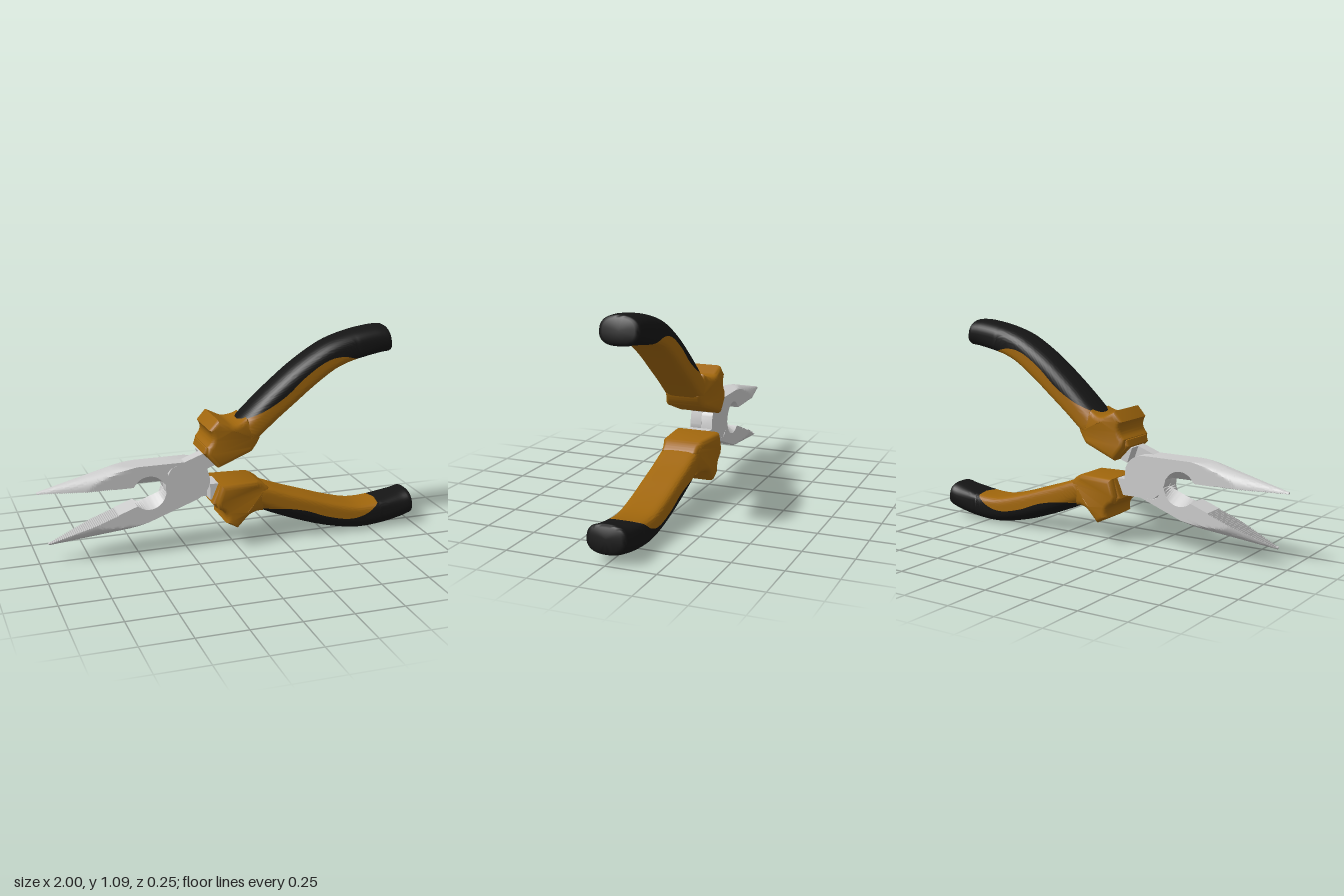
import * as THREE from 'three';
import { toCreasedNormals } from 'three/addons/utils/BufferGeometryUtils.js';

const steel = new THREE.MeshStandardMaterial({ color: 0xcccccc, side: THREE.DoubleSide });
const amber = new THREE.MeshStandardMaterial({ color: 0xa0660c, side: THREE.DoubleSide });
const black = new THREE.MeshStandardMaterial({ color: 0x151515, side: THREE.DoubleSide });
const PIVOT = new THREE.Vector3(-0.24, 0.37, 0);
const OPENING = THREE.MathUtils.degToRad(20.2);

function part(name, geometry, material, crease = 0.5) {
  const mesh = new THREE.Mesh(toCreasedNormals(geometry, crease), material);
  mesh.name = name;
  return mesh;
}

// Skin over rings of points that follow each other along x, capped at both ends
function loft(rings) {
  const n = rings[0].length, pos = [], index = [];
  rings.forEach(r => r.forEach(p => pos.push(p.x, p.y, p.z)));
  for (let i = 0; i < rings.length - 1; i++) {
    for (let j = 0; j < n - 1; j++) {
      const a = i * n + j, b = a + n;
      index.push(a, b, a + 1, a + 1, b, b + 1);
    }
  }
  [0, rings.length - 1].forEach((k, end) => {
    const c = new THREE.Vector3();
    rings[k].forEach(p => c.addScaledVector(p, 1 / n));
    const ci = pos.length / 3;
    pos.push(c.x, c.y, c.z);
    for (let j = 0; j < n - 1; j++) {
      const a = k * n + j;
      if (end) index.push(ci, a + 1, a); else index.push(ci, a, a + 1);
    }
  });
  const g = new THREE.BufferGeometry();
  g.setAttribute('position', new THREE.Float32BufferAttribute(pos, 3));
  g.setIndex(index);
  return g;
}

function slab(shape, z0, z1, bevel = 0) {
  const g = new THREE.ExtrudeGeometry(shape, {
    depth: z1 - z0 - 2 * bevel, bevelEnabled: bevel > 0, bevelSize: bevel,
    bevelThickness: bevel, bevelOffset: -bevel, bevelSegments: 4, curveSegments: 16,
  });
  return g.translate(0, 0, z0 + bevel);
}

// Jaw: a cone trimmed to a bar, with fine teeth and a waisted round notch
function jawGeometry() {
  const stations = [[-1, 0.37]];
  for (let i = 0; i <= 72; i++) stations.push([-0.99 + i * 0.005, i % 2 ? 0.375 : 0.37]);
  stations.push([-0.6, 0.37], [-0.57, 0.37], [-0.535, 0.37]);
  for (let i = 0; i <= 16; i++) stations.push([-0.53 + i * 0.01, 0.37]);
  stations.push([-0.355, 0.37]);
  return loft(stations.map(([x, y]) => {
    const R = 0.01 + (x + 1) * 0.25;
    const notch = 0.335 + Math.sqrt(Math.max(0, 0.085 ** 2 - (x + 0.45) ** 2));
    const ring = [];
    for (let k = 0; k <= 24; k++) {
      const a = (k / 24) * Math.PI;
      const z = THREE.MathUtils.clamp(0.85 * R * Math.cos(a), -0.06, 0.06);
      const top = Math.min(0.475, 0.37 + R * Math.sin(a));
      ring.push(new THREE.Vector3(x, Math.max(top, y, notch), z));
    }
    const w = Math.min(0.06, 0.85 * R);
    ring[0].set(x, Math.max(y, notch), w);
    ring[24].set(x, Math.max(y, notch), -w);
    ring.push(new THREE.Vector3(x, y, 0), ring[0].clone());
    return ring;
  }));
}

// Lap plate, half the thickness of the bar, running from jaw to neck
function lapPlate() {
  const s = new THREE.Shape();
  s.moveTo(-0.37, 0.475);
  s.lineTo(-0.24, 0.475);
  s.quadraticCurveTo(-0.16, 0.465, -0.14, 0.4);
  s.lineTo(-0.135, 0.345);
  s.lineTo(-0.05, 0.345);
  s.lineTo(-0.05, 0.262);
  s.lineTo(-0.296, 0.262);
  s.quadraticCurveTo(-0.36, 0.3, -0.37, 0.37);
  return slab(s, -0.06, 0);
}

// Shoulder that fills the other half thickness beside the mating plate
function shoulder() {
  const s = new THREE.Shape();
  s.moveTo(-0.37, 0.475);
  s.lineTo(-0.37, 0.375);
  s.quadraticCurveTo(-0.365, 0.43, -0.33, 0.453);
  s.lineTo(-0.265, 0.475);
  return slab(s, 0, 0.06);
}

// Finger guard with hollow sides, thinning towards the handle
function guardGeometry() {
  const s = new THREE.Shape();
  s.moveTo(-0.09, 0.347);
  s.lineTo(0.1, 0.347);
  s.quadraticCurveTo(0.14, 0.335, 0.17, 0.3);
  s.lineTo(0.14, 0.18);
  s.quadraticCurveTo(0.07, 0.195, 0.04, 0.16);
  s.lineTo(-0.005, 0.112);
  s.lineTo(-0.065, 0.145);
  s.quadraticCurveTo(-0.05, 0.2, -0.105, 0.222);
  s.lineTo(-0.118, 0.262);
  const g = slab(s, -0.126, 0.126, 0.025), p = g.attributes.position;
  for (let i = 0; i < p.count; i++) {
    const t = THREE.MathUtils.smoothstep(p.getX(i), 0.04, 0.15);
    p.setZ(i, p.getZ(i) * (1 - 0.24 * t));
  }
  return g;
}

function collarGeometry() {
  const s = new THREE.Shape();
  s.moveTo(-0.132, 0.25);
  s.lineTo(-0.092, 0.345);
  s.lineTo(-0.03, 0.345);
  s.lineTo(-0.03, 0.225);
  s.lineTo(-0.112, 0.225);
  return slab(s, -0.1, 0.1, 0.015);
}

// Handle rows: inner edge x, y, outer edge x, y, share of the height that is black
const HANDLE = [
  [0.05, 0.335, 0.03, 0.2, 0], [0.15, 0.31, 0.09, 0.19, 0], [0.28, 0.262, 0.22, 0.135, 0.36],
  [0.40, 0.222, 0.335, 0.09, 0.5], [0.52, 0.182, 0.47, 0.045, 0.46], [0.64, 0.15, 0.60, 0.015, 0.48],
  [0.72, 0.143, 0.70, 0.004, 0.65], [0.80, 0.15, 0.82, 0.012, 1], [0.90, 0.172, 0.93, 0.033, 1],
  [0.962, 0.188, 0.983, 0.05, 1],
];

function handleGeometries() {
  const curve = f => new THREE.CatmullRomCurve3(HANDLE.map(f), false, 'catmullrom', 0.5);
  const inner = curve(r => new THREE.Vector3(r[0], r[1], r[4]));
  const outer = curve(r => new THREE.Vector3(r[2], r[3], 0));
  const pow = (v, p) => Math.sign(v) * Math.abs(v) ** p;
  const blackRings = [], amberRings = [];
  const addStation = (t, scale, push) => {
    const T = inner.getPoint(t), B = outer.getPoint(t);
    const split = THREE.MathUtils.clamp(T.z, 0, 1);
    T.z = 0;
    const mid = T.clone().add(B).multiplyScalar(0.5);
    const half = T.clone().sub(B).multiplyScalar(0.5 * scale);
    mid.x += push;
    mid.y += push * 0.2;
    // squarish on the inner side, round on the outer side
    const pTop = 0.4 + 0.35 * THREE.MathUtils.smoothstep(t, 0.75, 0.95), pBottom = 0.85;
    const d = 2 * split - 1;
    const a0 = Math.asin(THREE.MathUtils.clamp(pow(d, 1 / (d > 0 ? pTop : pBottom)), -1, 1));
    const ring = (from, to) => Array.from({ length: 41 }, (_, k) => {
      const a = from + (to - from) * k / 40, p = Math.sin(a) > 0 ? pTop : pBottom;
      const q = mid.clone().addScaledVector(half, pow(Math.sin(a), p));
      q.z = 0.1 * scale * pow(Math.cos(a), p);
      return q;
    });
    blackRings.push(ring(-Math.PI - a0, a0));
    if (split < 1 || t < 0.8) amberRings.push(ring(a0, Math.PI - a0));
  };
  for (let i = 0; i <= 63; i++) addStation(i / 63, 1, 0);
  [[0.97, 0.008], [0.9, 0.014], [0.78, 0.018]].forEach(([k, push]) => addStation(1, k, push));
  return [loft(blackRings), loft(amberRings)];
}

// One half: upper jaw, lap plate, neck and lower handle, placed about the pivot
function makeHalf(name) {
  const half = new THREE.Group(), body = new THREE.Group();
  half.name = name;
  const neck = new THREE.BoxGeometry(0.17, 0.083, 0.12).translate(-0.05, 0.3035, 0);
  const [outerGrip, innerGrip] = handleGeometries();
  body.add(
    part('jaw', jawGeometry(), steel),
    part('lapPlate', lapPlate(), steel),
    part('jawShoulder', shoulder(), steel),
    part('neck', neck, steel),
    part('collar', collarGeometry(), amber),
    part('fingerGuard', guardGeometry(), amber, 0.7),
    part('innerGrip', innerGrip, amber, 1),
    part('outerGrip', outerGrip, black, 1),
  );
  body.position.copy(PIVOT).negate();
  half.position.copy(PIVOT);
  half.add(body);
  return half;
}

export function createModel() {
  const model = new THREE.Group();
  model.name = 'pliers';
  const first = makeHalf('upperJawHalf');
  // the second half is the first turned over and swung open
  const second = makeHalf('lowerJawHalf');
  second.rotation.set(Math.PI, 0, OPENING, 'ZYX');
  model.add(first, second);
  return model;
}
